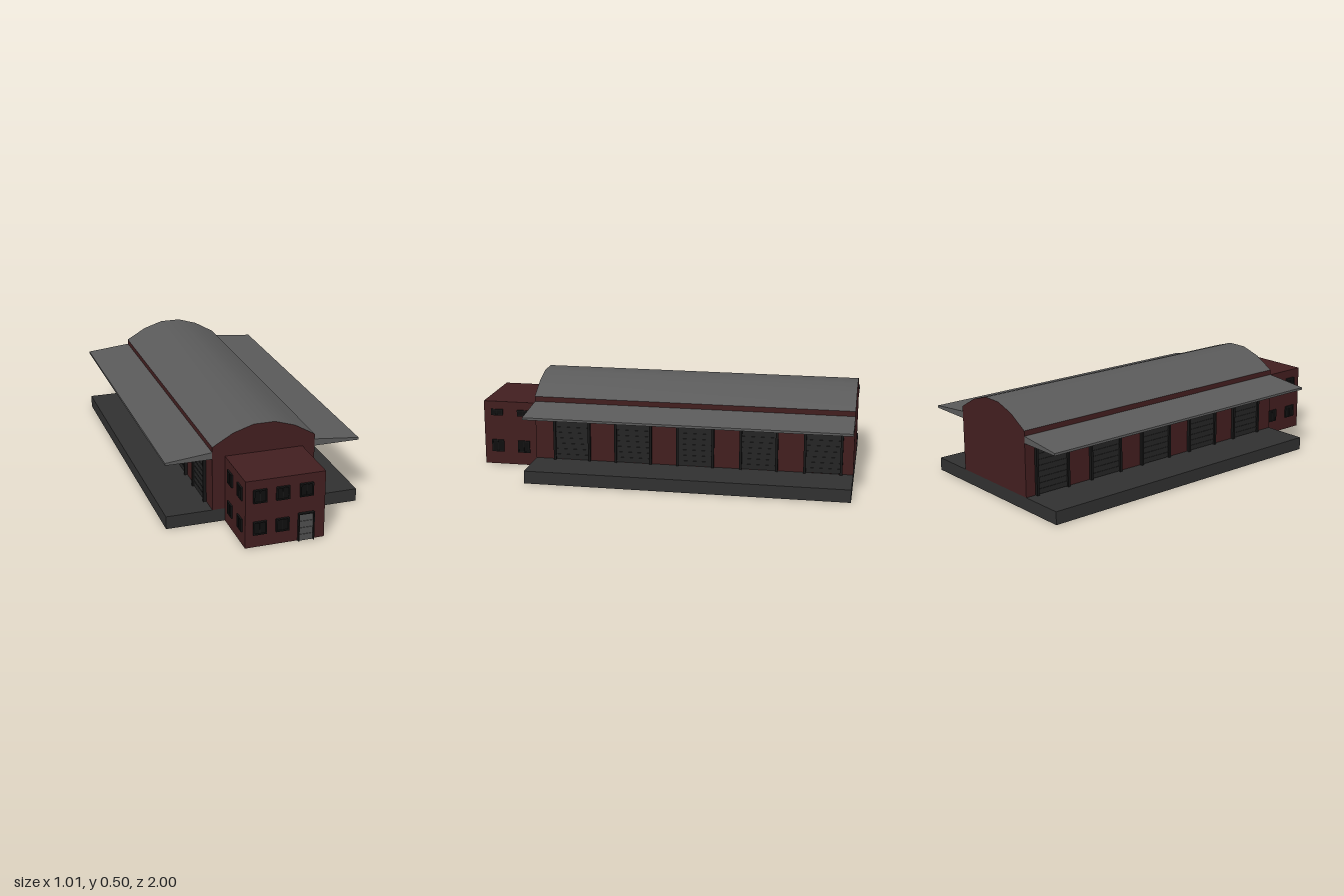
import * as THREE from 'three';

const mat = (color) => new THREE.MeshStandardMaterial({ color, side: THREE.DoubleSide, flatShading: true });
const brick = mat(0x421e1f), concrete = mat(0x303030), metal = mat(0x5a5a5a);
const frameMat = mat(0x161616), glass = mat(0x0e0e0e), shutterMat = mat(0x242424), doorMat = mat(0x4e4e4e);
const roofMat = new THREE.MeshStandardMaterial({ color: 0x5a5a5a, side: THREE.DoubleSide });

const BACK = -1, FRONT = 0.68, LEN = FRONT - BACK, MID = (FRONT + BACK) / 2;
const HALL = 0.267, EDGE = 0.505, DECK = 0.067;
const ROOF = [[-HALL, 0.405], [-0.16, 0.467], [-0.055, 0.5], [0.055, 0.5], [0.16, 0.467], [HALL, 0.405]];

function add(parent, name, geometry, material, x = 0, y = 0, z = 0) {
  const m = new THREE.Mesh(geometry, material);
  m.name = name;
  m.position.set(x, y, z);
  parent.add(m);
  return m;
}
const box = (parent, name, material, w, h, d, x, y, z) =>
  add(parent, name, new THREE.BoxGeometry(w, h, d), material, x, y, z);

// Surround of an opening, facing +z, with its base centred on the origin
function surround(g, w, h, t, d, z, withSill) {
  for (const s of [-1, 1]) box(g, 'jamb', frameMat, t, h, d, s * (w - t) / 2, h / 2, z);
  box(g, 'head', frameMat, w - 2 * t, t, d, 0, h - t / 2, z);
  if (withSill) box(g, 'sill', frameMat, w - 2 * t, t, d, 0, t / 2, z);
}

function makeWindow(w, h, out) {
  const g = new THREE.Group();
  g.name = 'window';
  surround(g, w, h, 0.006, out, out / 2, true);
  box(g, 'pane', glass, w - 0.01, h - 0.01, 0.004, 0, h / 2, 0.004);
  box(g, 'mullion', frameMat, 0.003, h - 0.01, 0.004, 0, h / 2, 0.006);
  return g;
}

function makeShutter() {
  const g = new THREE.Group();
  g.name = 'loadingDoor';
  const w = 0.2, h = 0.256;
  surround(g, w, h, 0.013, 0.028, 0.002, false);
  add(g, 'shutter', new THREE.PlaneGeometry(w - 0.02, h - 0.01), shutterMat, 0, h / 2, 0.004);
  for (let i = 0; i < 8; i++)
    box(g, 'slat', shutterMat, w - 0.026, 0.026, 0.004, 0, 0.016 + i * 0.03, 0.005);
  return g;
}

function makeDoor() {
  const g = new THREE.Group();
  g.name = 'entranceDoor';
  surround(g, 0.082, 0.148, 0.006, 0.015, 0.0075, false);
  box(g, 'doorLeaf', frameMat, 0.07, 0.142, 0.004, 0, 0.071, 0.004);
  for (let i = 0; i < 4; i++) box(g, 'doorPanel', doorMat, 0.068, 0.033, 0.004, 0, 0.018 + i * 0.035, 0.007);
  return g;
}

function place(parent, item, x, y, z, turn = 0) {
  item.position.set(x, y, z);
  item.rotation.y = turn;
  parent.add(item);
}

function makePlatform() {
  const g = new THREE.Group();
  g.name = 'platform';
  // hollow deck, open beneath and under the hall
  for (const s of [-1, 1]) {
    const w = EDGE - HALL;
    add(g, 'deck', new THREE.PlaneGeometry(w, LEN), concrete, s * (HALL + w / 2), DECK, MID).rotation.x = -Math.PI / 2;
    add(g, 'sideSkirt', new THREE.PlaneGeometry(LEN, DECK), concrete, s * EDGE, DECK / 2, MID).rotation.y = s * Math.PI / 2;
  }
  add(g, 'frontSkirt', new THREE.PlaneGeometry(2 * EDGE, DECK), concrete, 0, DECK / 2, FRONT);
  add(g, 'backSkirt', new THREE.PlaneGeometry(2 * EDGE, DECK), concrete, 0, DECK / 2, BACK).rotation.y = Math.PI;
  return g;
}

function makeHall() {
  const g = new THREE.Group();
  g.name = 'hall';
  // gable ends follow the roof curve
  const gable = new THREE.Shape([[-HALL, DECK], [HALL, DECK], ...[...ROOF].reverse()].map(([x, y]) => new THREE.Vector2(x, y)));
  add(g, 'frontGable', new THREE.ShapeGeometry(gable), brick, 0, 0, FRONT);
  add(g, 'backGable', new THREE.ShapeGeometry(gable), brick, 0, 0, BACK).rotation.y = Math.PI;

  // curved roof
  const roof = new THREE.PlaneGeometry(1, LEN, ROOF.length - 1, 1).rotateX(-Math.PI / 2);
  const p = roof.attributes.position;
  for (let i = 0; i < p.count; i++) {
    const [x, y] = ROOF[i % ROOF.length];
    p.setXYZ(i, x, y, p.getZ(i));
  }
  roof.computeVertexNormals();
  add(g, 'roof', roof, roofMat, 0, 0, MID);

  for (const s of [-1, 1]) {
    const h = 0.405 - DECK;
    add(g, 'sideWall', new THREE.PlaneGeometry(LEN, h), brick, s * HALL, DECK + h / 2, MID).rotation.y = s * Math.PI / 2;
    for (const z of [0.48, 0.15, -0.18, -0.513, -0.845])
      place(g, makeShutter(), s * HALL, DECK, z, s * Math.PI / 2);

    // tapered canopy over the platform
    const profile = new THREE.Shape([[HALL, 0.342], [EDGE, 0.342], [EDGE, 0.354], [HALL, 0.378]]
      .map(([x, y]) => new THREE.Vector2(s * x, y)));
    add(g, 'canopy', new THREE.ExtrudeGeometry(profile, { depth: LEN, bevelEnabled: false }), metal, 0, 0, BACK);
  }
  return g;
}

function makeOffice() {
  const g = new THREE.Group();
  g.name = 'office';
  const W = 0.202, H = 0.35, Z = 0.986, D = Z - FRONT;
  // walls and flat roof, open beneath
  add(g, 'officeFront', new THREE.PlaneGeometry(2 * W, H), brick, 0, H / 2, Z);
  add(g, 'officeRoof', new THREE.PlaneGeometry(2 * W, D), brick, 0, H, FRONT + D / 2).rotation.x = -Math.PI / 2;
  for (const s of [-1, 1])
    add(g, 'officeSide', new THREE.PlaneGeometry(D, H), brick, s * W, H / 2, FRONT + D / 2).rotation.y = s * Math.PI / 2;

  for (const x of [-0.13, -0.015, 0.105]) place(g, makeWindow(0.067, 0.068, 0.012), x, 0.235, Z);
  for (const x of [-0.13, -0.015]) place(g, makeWindow(0.067, 0.068, 0.012), x, 0.068, Z);
  place(g, makeDoor(), 0.105, 0, Z);

  // upper windows on the left side are shallow, the rest are square
  for (const s of [-1, 1]) for (const z of [0.913, 0.768]) {
    place(g, makeWindow(0.066, 0.066, 0.008), s * W, 0.07, z, s * Math.PI / 2);
    const low = s > 0;
    place(g, makeWindow(0.066, low ? 0.034 : 0.068, 0.008), s * W, low ? 0.273 : 0.235, z, s * Math.PI / 2);
  }
  return g;
}

export function createModel() {
  const model = new THREE.Group();
  model.name = 'freightDepot';
  model.add(makePlatform(), makeHall(), makeOffice());
  return model;
}
